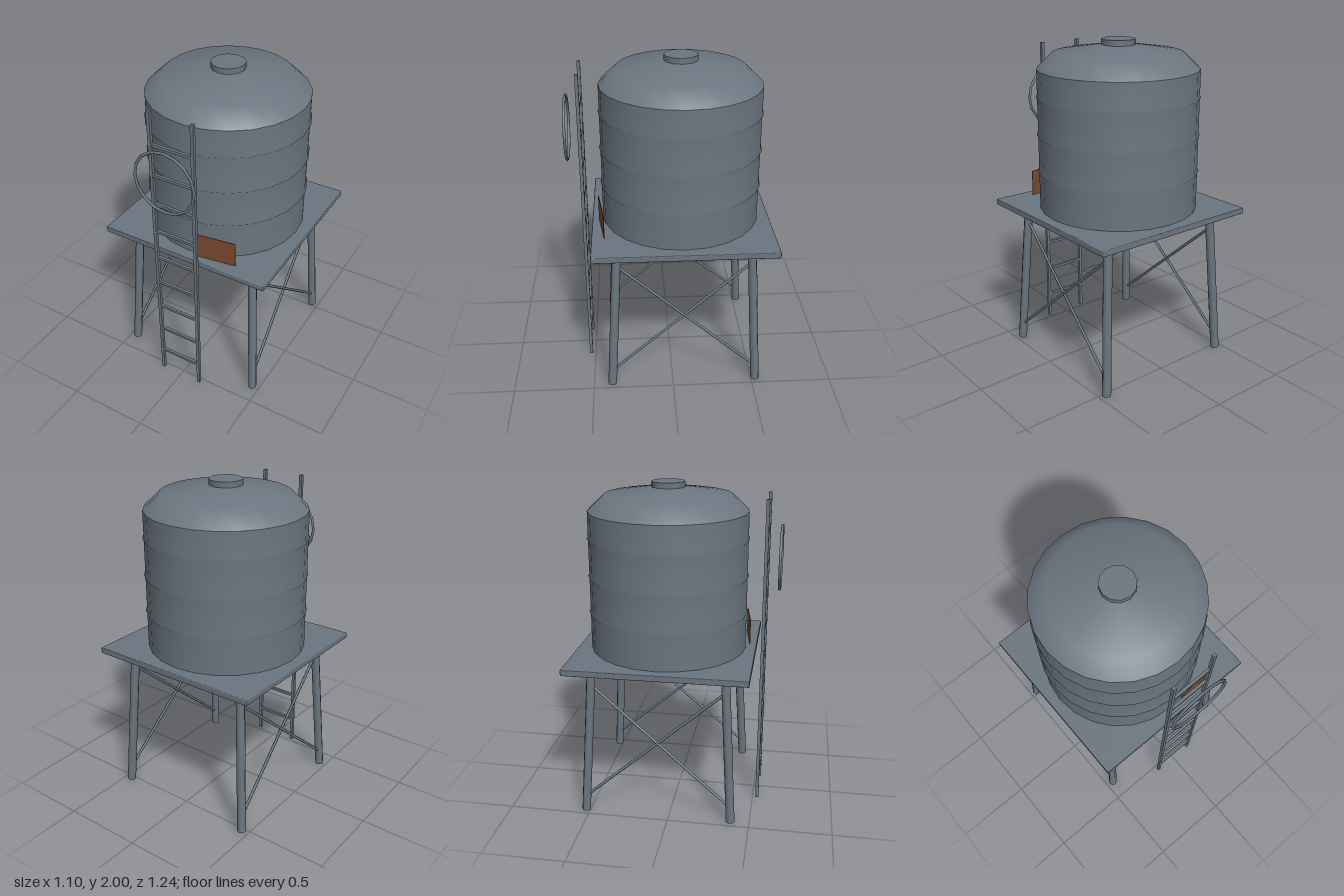
import * as THREE from 'three';
import { RoundedBoxGeometry } from 'three/addons/geometries/RoundedBoxGeometry.js';

export function createModel() {
  const model = new THREE.Group();
  model.name = 'waterTower';

  const steel = new THREE.MeshStandardMaterial({ color: 0x6b7680 });
  steel.name = 'steelGrey';
  const rust = new THREE.MeshStandardMaterial({ color: 0x7a4a2e });
  rust.name = 'rustBrown';

  const TANK_Z = -0.07;
  const RADIUS = 0.485;

  function add(name, geometry, x = 0, y = 0, z = 0, material = steel, parent = model) {
    const mesh = new THREE.Mesh(geometry, material);
    mesh.name = name;
    mesh.position.set(x, y, z);
    parent.add(mesh);
    return mesh;
  }

  // Round bar between two points
  function bar(name, from, to, radius, sides) {
    const dir = to.clone().sub(from);
    const mid = from.clone().add(to).multiplyScalar(0.5);
    const mesh = add(name, new THREE.CylinderGeometry(radius, radius, dir.length(), sides), mid.x, mid.y, mid.z);
    mesh.quaternion.setFromUnitVectors(new THREE.Vector3(0, 1, 0), dir.normalize());
    return mesh;
  }

  const lathe = (pairs, sides) =>
    new THREE.LatheGeometry(pairs.map(([r, y]) => new THREE.Vector2(r, y)), sides);

  // Tank wall with three raised hoops
  const wall = [[RADIUS, 0.975]];
  for (const y of [1.21, 1.437, 1.665]) {
    wall.push([RADIUS, y - 0.009], [RADIUS + 0.008, y], [RADIUS, y + 0.009]);
  }
  wall.push([RADIUS, 1.83]);
  add('tankWall', lathe(wall, 24), 0, 0, TANK_Z);

  // Roof and hatch
  add('tankRoof', lathe([[RADIUS, 1.83], [0.388, 1.922], [0.1, 1.967], [0, 1.975]], 24), 0, 0, TANK_Z);
  add('roofHatch', new THREE.CylinderGeometry(0.102, 0.102, 0.04, 12), 0, 1.98, TANK_Z);

  // Platform
  add('platform', new RoundedBoxGeometry(1.1, 0.037, 1.1, 1, 0.005), 0, 0.961, TANK_Z);

  // Splayed legs
  const legPoint = (sx, sz, y) => {
    const spread = 0.455 - 0.056 * y;
    return new THREE.Vector3(sx * spread, y, TANK_Z + sz * spread);
  };
  for (const sx of [-1, 1]) {
    for (const sz of [-1, 1]) {
      bar('leg', legPoint(sx, sz, 0.003), legPoint(sx, sz, 0.95), 0.027, 8);
      // Crossed braces on the two sides
      bar('brace', legPoint(sx, sz, 0.1), legPoint(sx, -sz, 0.84), 0.009, 6);
    }
  }

  // Ladder
  const ladder = new THREE.Group();
  ladder.name = 'ladder';
  ladder.position.z = 0.528;
  model.add(ladder);
  for (const sx of [-1, 1]) {
    add('ladderRail', new THREE.BoxGeometry(0.02, 1.925, 0.02), sx * 0.136, 0.966, 0, steel, ladder);
  }
  for (let i = 0; i < 9; i++) {
    add('ladderRung', new THREE.BoxGeometry(0.26, 0.017, 0.018), 0, 0.167 + i * 0.195, 0, steel, ladder);
  }

  // Safety ring in front of the ladder
  add('safetyRing', new THREE.TorusGeometry(0.191, 0.009, 6, 16), 0, 1.565, 0.611);

  // Slightly turned sign plate
  const sign = add('signPlate', new THREE.BoxGeometry(0.264, 0.16, 0.004), 0.194, 1.06, 0.42, rust);
  sign.rotation.y = 0.135;

  return model;
}
